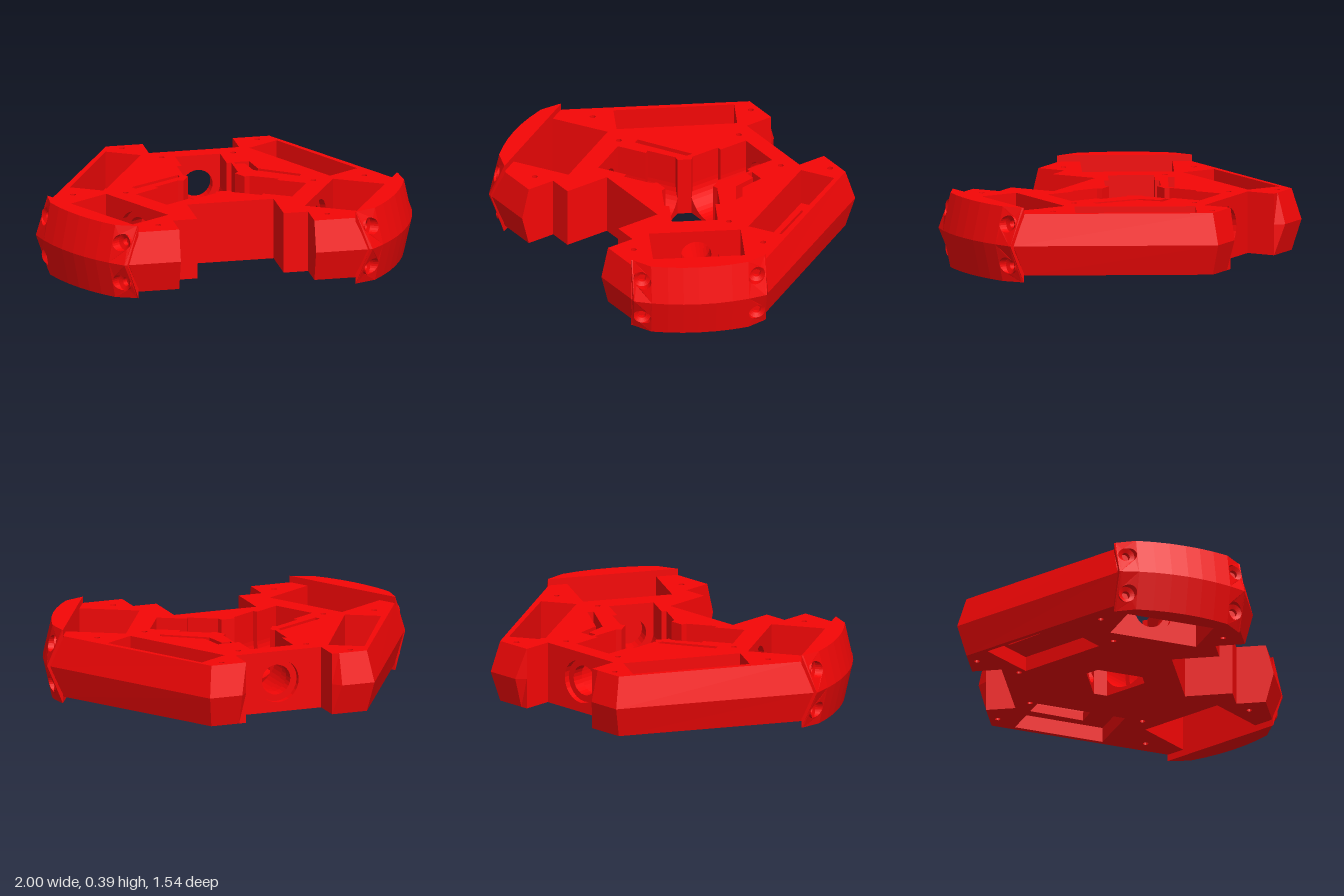
import * as THREE from 'three';

const BOTTOM = 0.035, MID = 0.197, TOP = 0.36, AXIS = 0.2;
const CENTRE_Z = -0.03; // the three drive axes meet here
const material = new THREE.MeshStandardMaterial({ color: 0xf50606, flatShading: true, side: THREE.DoubleSide });

// Surface collector: strips between two 3D loops and flat faces with holes
class Part {
  constructor() { this.pos = []; }
  strip(a, b, closed = false, skip = []) {
    const n = a.length;
    for (let i = 0; i < (closed ? n : n - 1); i++) {
      if (skip.includes(i)) continue;
      const j = (i + 1) % n;
      this.pos.push(...a[i], ...b[i], ...b[j], ...a[i], ...b[j], ...a[j]);
    }
  }
  face(outline, holes, map) {
    const v = (l) => l.map(([x, y]) => new THREE.Vector2(x, y));
    const all = [outline, ...holes].flat();
    for (const tri of THREE.ShapeUtils.triangulateShape(v(outline), holes.map(v)))
      for (const i of tri) this.pos.push(...map(...all[i]));
  }
  wall(loop, y0, y1, skip) { this.strip(at(loop, y0), at(loop, y1), true, skip); }
  mesh(name) {
    const g = new THREE.BufferGeometry();
    g.setAttribute('position', new THREE.Float32BufferAttribute(this.pos, 3));
    g.computeVertexNormals();
    const m = new THREE.Mesh(g, material);
    m.name = name;
    return m;
  }
}

const at = (loop, y) => loop.map(([x, z]) => [x, y, z]);
const level = (y) => (x, z) => [x, y, z];
const plane = (r) => (t, y) => [r, y, t];
const lift = (loop, x) => loop.map(([t, y]) => [x, y, t]);
const mirror = (loop) => loop.map(([x, z]) => [-x, z]);
const both = (half) => [...half, ...mirror(half).reverse()];
const rect = (a0, b0, a1, b1) => [[a0, b0], [a1, b0], [a1, b1], [a0, b1]];
const arc = (cx, cy, r, a0, a1, n) => Array.from({ length: n + 1 }, (_, i) => {
  const a = a0 + (a1 - a0) * i / n;
  return [cx + r * Math.cos(a), cy + r * Math.sin(a)];
});
const circle = (cx, cy, r, n = 24) => arc(cx, cy, r, 0, Math.PI * 2, n).slice(0, n);
// Turn (distance from drive centre, sideways) into plan coordinates
const turn = (loop, a) => loop.map(([r, t]) =>
  [r * Math.cos(a) - t * Math.sin(a), r * Math.sin(a) + t * Math.cos(a) + CENTRE_Z]);

// Three drive units: direction, wheel-side wall distance and its width
const drives = [
  { a: Math.PI / 6, r: 0.565, t0: -0.23, t1: 0.25 },
  { a: Math.PI * 5 / 6, r: 0.565, t0: -0.25, t1: 0.23 },
  { a: -Math.PI / 2, r: 0.545, t0: -0.24, t1: 0.24 },
];

function chassis() {
  const p = new Part();
  const mid = both([[0.23, 0.32], [0.23, 0.57], [0.36, 0.57], [0.36, 0.767], [0.636, 0.767], [0.6, 0.7],
    [0.928, 0.143], [0.99, 0.15], [0.46, -0.775], [0.28, -0.775], [0.24, -0.73], [0.24, -0.575]]);
  const rim = both([[0.23, 0.32], [0.23, 0.57], [0.36, 0.57], [0.36, 0.725], [0.576, 0.725], [0.6, 0.7],
    [0.922, 0.143], [0.925, 0.12], [0.435, -0.73], [0.28, -0.73], [0.24, -0.73], [0.24, -0.575]]);
  const backEdge = [mid.length / 2 - 1];
  p.strip(at(rim, BOTTOM), at(mid, MID), true, backEdge);
  p.strip(at(mid, MID), at(rim, TOP), true, backEdge);

  // Wheel wells
  const wells = drives.slice(0, 2).map(({ a, r, t0, t1 }) =>
    turn([[r, t0], [r, t1], [0.883, t1], [0.883, t0]], a));
  wells.forEach((w) => p.wall(w, BOTTOM, TOP, [0]));

  // Screw holes
  const screws = [[0.36, -0.685], [0.19, -0.49], [0.775, 0.03], [0.5, 0.055], [0.45, 0.625]]
    .flatMap(([x, z]) => [circle(x, z, 0.015, 12), circle(-x, z, 0.015, 12)]);
  screws.forEach((s) => p.wall(s, BOTTOM, TOP));

  // Long side pockets above, wider recesses below, joined by a window
  const pocket = [[0.29, -0.55], [0.6, 0], [0.765, -0.095], [0.455, -0.645]];
  const recess = [[0.45, -0.03], [0.72, -0.19], [0.473, -0.613], [0.203, -0.453]];
  const pockets = [pocket, mirror(pocket)], recesses = [recess, mirror(recess)];
  const windows = [
    [[0.353, -0.508], [0.44, -0.56], [0.615, -0.275], [0.513, -0.22]],
    [[-0.364, -0.513], [-0.45, -0.555], [-0.556, -0.385], [-0.476, -0.337]],
  ];
  const floor = 0.16, ceiling = 0.115;
  windows.forEach((w, i) => {
    p.wall(pockets[i], floor, TOP);
    p.face(pockets[i], [w], level(floor));
    p.wall(w, ceiling, floor);
    p.face(recesses[i], [w], level(ceiling));
    p.wall(recesses[i], BOTTOM, ceiling);
  });

  // Shallow cable grooves
  const grooves = [
    [[0.16, -0.33], [0.24, -0.33], [0.26, -0.2], [0.46, -0.06], [0.445, -0.03], [0.23, -0.18], [0.21, -0.3], [0.16, -0.3]],
    [[-0.17, -0.18], [-0.45, -0.03], [-0.435, 0], [-0.17, -0.145]],
  ];
  grooves.forEach((g) => { p.wall(g, 0.28, TOP); p.face(g, [], level(0.28)); });

  // Central opening joined to the three motor bays
  const bay = [[0.115, -0.125], [0.135, -0.145], [0.295, -0.145], [0.295, -0.12], [0.455, -0.12]];
  const fullBay = [...bay, ...bay.map(([r, t]) => [r, -t]).reverse()];
  const opening = drives.flatMap(({ a }) => turn(fullBay, a));
  const centre = drives.flatMap(({ a }) => turn([fullBay[0], fullBay[9]], a));
  const edges = opening.map((_, i) => i);
  const low = edges.filter((i) => [0, 8, 9].includes(i % 10));
  p.wall(opening, AXIS, TOP, edges.filter((i) => low.includes(i) || i % 10 === 4));
  p.wall(opening, BOTTOM, TOP, edges.filter((i) => !low.includes(i)));

  // Top and bottom plates
  p.face(rim, [...wells, ...screws, ...pockets, ...grooves, opening], level(TOP));
  p.face(rim, [...wells, ...screws, ...recesses, centre], level(BOTTOM));
  return p.mesh('chassis');
}

// Half-round cradle, end wall and stepped shaft bore; x runs outwards, z sideways
function motorBay({ a, r, t0, t1 }) {
  const p = new Part();
  const half = (rad) => arc(0, AXIS, rad, Math.PI, Math.PI * 2, 20);
  const big = half(0.145), small = half(0.12);
  p.strip(lift(big, 0.115), lift(big, 0.295));
  p.strip(lift(big, 0.295), lift(small, 0.295));
  p.strip(lift(small, 0.295), lift(small, 0.455));
  const lip = big.filter(([t]) => Math.abs(t) < 0.125);
  p.face([[-0.125, BOTTOM], [-0.125, 0.1265], ...lip, [0.125, 0.1265], [0.125, BOTTOM]], [], plane(0.115));

  const bore = circle(0, AXIS, 0.08), counterbore = circle(0, AXIS, 0.115);
  p.face([[-0.12, TOP], ...small, [0.12, TOP]], [bore], plane(0.455));
  p.strip(lift(bore, 0.455), lift(bore, r - 0.03), true);
  p.strip(lift(bore, r - 0.03), lift(counterbore, r - 0.03), true);
  p.strip(lift(counterbore, r - 0.03), lift(counterbore, r), true);
  p.face(rect(t0, BOTTOM, t1, TOP), [counterbore], plane(r));
  const m = p.mesh('motorBay');
  m.rotation.y = -a;
  m.position.z = CENTRE_Z;
  return m;
}

// Curved bumper with a ridge at mid height and four counterbored screw holes;
// its ends are cut along the chamfered sides of the chassis
function bumper(a, side) {
  const p = new Part();
  const H = 0.394, inner = 0.866;
  const breaks = [-0.36, -0.353, -0.263, -0.175, -0.09, 0, 0.08, 0.16, 0.245, 0.335, 0.343];
  const radius = (t, y) => {
    const inset = 0.045 * Math.abs(y - MID) / MID;
    const cut = ((t > 0 ? 0.769 : 0.788) - inset - 0.867 * Math.abs(t)) / 0.5;
    return Math.max(inner, Math.min(Math.sqrt(1.015 ** 2 - t * t) - inset, cut));
  };
  for (let i = 0; i < breaks.length - 1; i++) {
    const [s, e] = [breaks[i], breaks[i + 1]];
    const drilled = i === 1 || i === 8;
    for (const [y0, y1, cy] of [[0, MID, 0.087], [MID, H, 0.307]]) {
      const along = (t, y) => THREE.MathUtils.lerp(radius(s, y), radius(e, y), (t - s) / (e - s));
      const outer = (t, y) =>
        [THREE.MathUtils.lerp(along(t, y0), along(t, y1), (y - y0) / (y1 - y0)), y, t];
      const c = (s + e) / 2, hole = circle(c, cy, 0.044), core = circle(c, cy, 0.022);
      p.face(rect(s, y0, e, y1), drilled ? [hole] : [], outer);
      if (!drilled) continue;
      p.strip(hole.map((q) => outer(...q)), lift(hole, 0.915), true);
      p.strip(lift(hole, 0.915), lift(core, 0.905), true);
      p.strip(lift(core, 0.905), lift(core, 0.88), true);
      p.face(core, [], plane(0.88));
    }
  }
  const t0 = breaks[0], t1 = breaks[breaks.length - 1];
  for (const y of [0, H])
    p.strip(breaks.map((t) => [inner, y, t]), breaks.map((t) => [radius(t, y), y, t]));
  for (const t of [t0, t1])
    p.strip([0, MID, H].map((y) => [inner, y, t]), [0, MID, H].map((y) => [radius(t, y), y, t]));
  p.face(rect(t0, 0, t1, H), [], plane(inner));
  const m = p.mesh(side > 0 ? 'leftBumper' : 'rightBumper');
  m.scale.z = side;
  m.rotation.y = -a;
  return m;
}

export function createModel() {
  const model = new THREE.Group();
  model.name = 'robotBase';
  model.add(chassis());
  drives.forEach((d) => model.add(motorBay(d)));
  model.add(bumper(drives[0].a, 1), bumper(drives[1].a, -1));
  return model;
}
